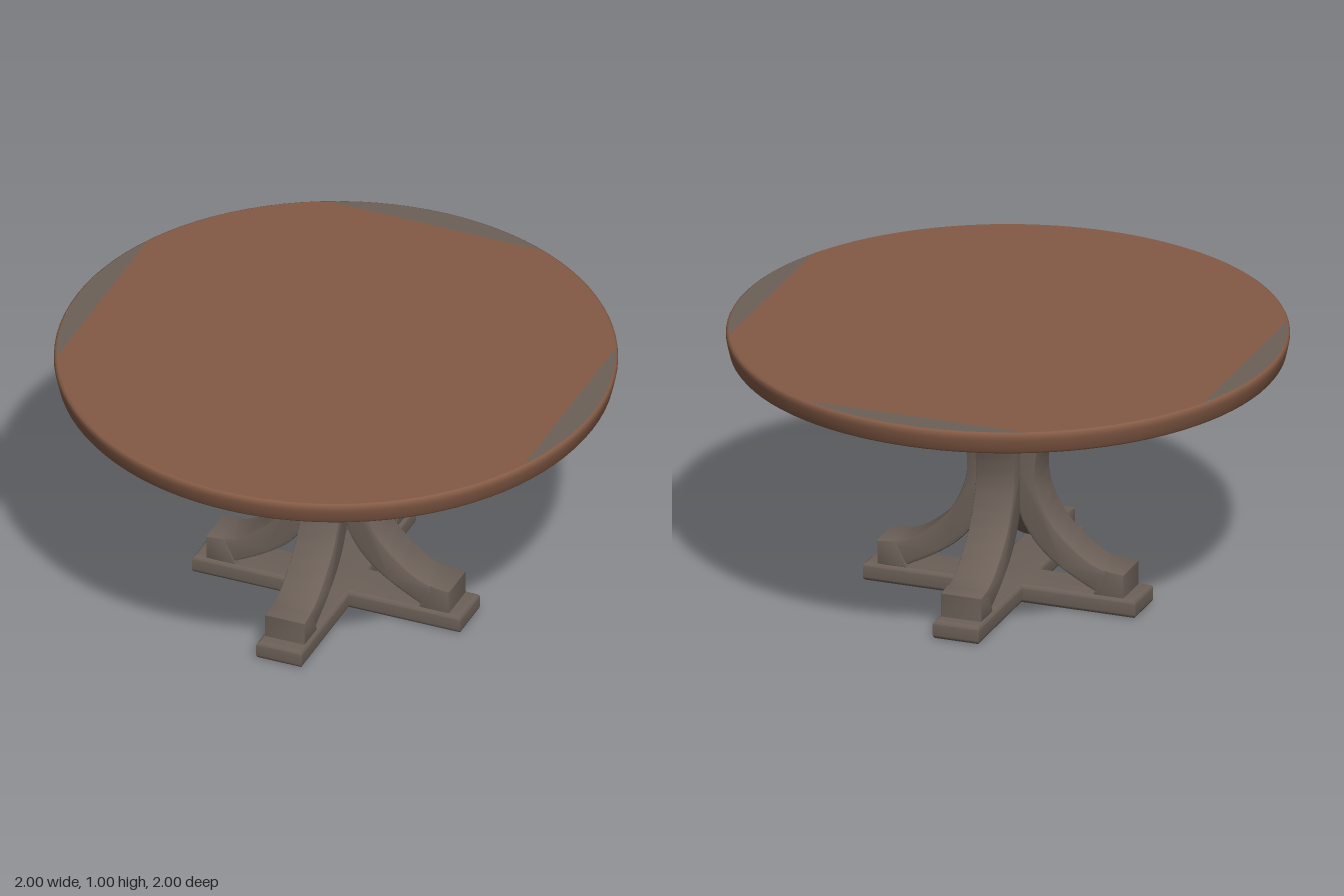
import * as THREE from 'three';
import { toCreasedNormals } from 'three/addons/utils/BufferGeometryUtils.js';

const wood = new THREE.MeshStandardMaterial({ color: 0x835a45 });
wood.name = 'warm brown wood';
const grey = new THREE.MeshStandardMaterial({ color: 0x6c6058 });
grey.name = 'weathered grey wood';

const vec = (pts) => pts.map(([x, y]) => new THREE.Vector2(x, y));

function part(name, geometry, material) {
  const mesh = new THREE.Mesh(geometry, material);
  mesh.name = name;
  return mesh;
}

// Bevelled slab of a given total thickness, starting at z = 0
function slab(shape, thickness, bevel, segments = 2) {
  const g = new THREE.ExtrudeGeometry(shape, {
    depth: thickness - 2 * bevel, bevelEnabled: true, bevelThickness: bevel,
    bevelSize: bevel, bevelOffset: -bevel, bevelSegments: segments,
  });
  g.translate(0, 0, bevel);
  return toCreasedNormals(g, 0.6);
}

// Side profile in x/y, widened evenly about z = 0
function profile(name, shape, width, bevel) {
  return part(name, slab(shape, width, bevel).translate(0, 0, -width / 2), grey);
}

function arcPoints(r, from, to, n) {
  return Array.from({ length: n + 1 }, (_, i) => {
    const a = from + ((to - from) * i) / n;
    return new THREE.Vector2(r * Math.cos(a), r * Math.sin(a));
  });
}

function createTop() {
  const top = new THREE.Group();
  top.name = 'tableTop';
  const R = 0.99, Y = 1.005;

  // Rounded rim and underside
  const rim = new THREE.LatheGeometry(vec([
    [0, 0.918], [0.972, 0.918], [0.982, 0.922], [0.988, 0.93], [0.998, 0.975],
    [1, 0.985], [0.999, 0.996], [0.996, 1.002], [R, Y],
  ]), 96);
  top.add(part('rim', toCreasedNormals(rim, 0.7), wood));

  // Flat surface: grey segments cut off at right, back and left
  const half = Math.acos(0.9 / R);
  const flat = (pts) => new THREE.ShapeGeometry(new THREE.Shape(pts))
    .rotateX(-Math.PI / 2).translate(0, Y, 0);
  const centre = [];
  for (let k = 0; k < 3; k++) {
    const a = (k * Math.PI) / 2;
    top.add(part('wornEdge', flat(arcPoints(R, a - half, a + half, 16)), grey));
    const end = k < 2 ? a + Math.PI / 2 - half : 2 * Math.PI - half;
    centre.push(...arcPoints(R, a + half, end, k < 2 ? 16 : 48));
  }
  top.add(part('surface', flat(centre), wood));
  return top;
}

function createLeg() {
  const leg = new THREE.Group();
  leg.name = 'leg';

  // C-shaped curved post
  const outer = new THREE.SplineCurve(vec([
    [0.465, 0.155], [0.38, 0.168], [0.3, 0.21], [0.203, 0.3], [0.148, 0.4],
    [0.13, 0.495], [0.148, 0.61], [0.195, 0.71], [0.26, 0.785], [0.33, 0.83],
  ])).getPoints(36);
  const inner = new THREE.SplineCurve(vec([
    [0.257, 0.915], [0.17, 0.83], [0.1, 0.71], [0.062, 0.6], [0.048, 0.495],
    [0.056, 0.39], [0.09, 0.29], [0.16, 0.2], [0.257, 0.13], [0.38, 0.066],
  ])).getPoints(36);
  const post = new THREE.Shape([
    ...outer, new THREE.Vector2(0.36, 0.915), ...inner, new THREE.Vector2(0.465, 0.066),
  ]);
  leg.add(profile('curvedPost', post, 0.15, 0.01));

  // Slanted bracket under the top
  const bracket = new THREE.Shape(vec([
    [0.255, 0.92], [0.315, 0.82], [0.488, 0.85], [0.543, 0.92],
  ]));
  leg.add(profile('topBracket', bracket, 0.166, 0.006));

  // Block standing on the foot
  const block = new THREE.Shape(vec([
    [0.35, 0.066], [0.468, 0.066], [0.468, 0.157], [0.4, 0.165],
  ]));
  leg.add(profile('footBlock', block, 0.156, 0.006));
  return leg;
}

// Cross-shaped floor plank with softened edges
function createBase() {
  const w = 0.088, l = 0.517;
  const pts = [];
  for (let k = 0; k < 4; k++) {
    const a = (k * Math.PI) / 2;
    for (const [x, y] of [[w, -w], [l, -w], [l, w]]) {
      pts.push(new THREE.Vector2(x, y).rotateAround(new THREE.Vector2(), a));
    }
  }
  const g = slab(new THREE.Shape(pts), 0.07, 0.016, 4).rotateX(-Math.PI / 2);
  return part('crossBase', g, grey);
}

export function createModel() {
  const model = new THREE.Group();
  model.name = 'roundPedestalTable';
  model.add(createTop(), createBase());
  for (let k = 0; k < 4; k++) {
    const leg = createLeg();
    leg.rotation.y = (k * Math.PI) / 2;
    model.add(leg);
  }
  return model;
}
